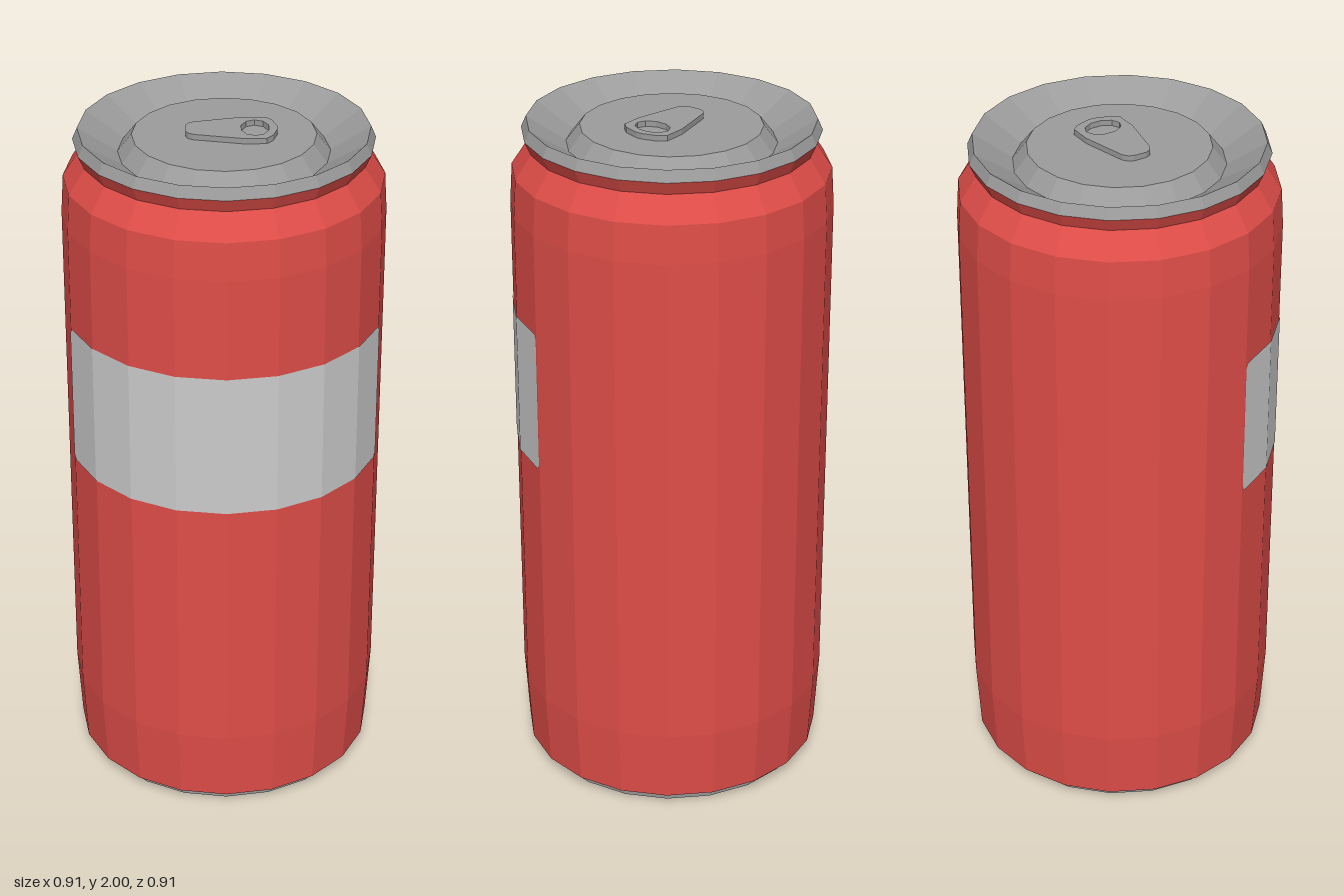
import * as THREE from 'three';

const SIDES = 20;
const BODY_R = 0.455;

const red = new THREE.MeshStandardMaterial({ color: 0xdf4d48 });
red.name = 'red paint';
const metal = new THREE.MeshStandardMaterial({ color: 0x9c9c9c });
metal.name = 'bare metal';
const pale = new THREE.MeshStandardMaterial({ color: 0xcccccc });
pale.name = 'pale label';

// Faceted mesh: every face gets its own normal
function facet(name, geometry, material) {
  const g = geometry.index ? geometry.toNonIndexed() : geometry;
  g.computeVertexNormals();
  const mesh = new THREE.Mesh(g, material);
  mesh.name = name;
  return mesh;
}

// Turned part from [radius, height] pairs
function turned(name, profile, material) {
  const points = profile.map(([r, y]) => new THREE.Vector2(r, y));
  return facet(name, new THREE.LatheGeometry(points, SIDES), material);
}

// Rectangular label wrapped on the flat sides, with clipped corners
function makeLabel() {
  const angles = [-72, -70.6, -54, -36, -18, 0, 18, 36, 54, 70.6, 72];
  const low = 1.03, high = 1.455, corner = 0.014;
  const g = new THREE.PlaneGeometry(1, 1, angles.length - 1, 1);
  const pos = g.attributes.position;
  for (let i = 0; i < pos.count; i++) {
    const col = i % angles.length;
    const a = THREE.MathUtils.degToRad(angles[col]);
    const step = Math.PI * 2 / SIDES;
    const inFace = Math.abs(a) % step;
    const r = (BODY_R + 0.002) * Math.cos(step / 2) / Math.cos(inFace - step / 2);
    const inset = col === 0 || col === angles.length - 1 ? corner : 0;
    const y = pos.getY(i) > 0 ? high - inset : low + inset;
    pos.setXYZ(i, r * Math.sin(a), y, r * Math.cos(a));
  }
  return facet('label', g, pale);
}

// Pull tab: tapered plate with a finger hole
function makeTab() {
  const half = [[-0.107, 0.02], [-0.1, 0.035], [-0.085, 0.045], [0.05, 0.075], [0.115, 0.075], [0.133, 0.055], [0.147, 0.01]];
  const outline = [...half.map(([x, y]) => [x, -y]), ...half.slice().reverse()];
  const shape = new THREE.Shape(outline.map(([x, y]) => new THREE.Vector2(x, y)));
  const hole = [];
  for (let i = 0; i < 10; i++) {
    const a = Math.PI / 2 - i / 10 * Math.PI * 2;
    hole.push(new THREE.Vector2(0.085 + 0.04 * Math.cos(a), 0.054 * Math.sin(a)));
  }
  shape.holes.push(new THREE.Path(hole));
  const g = new THREE.ExtrudeGeometry(shape, { depth: 0.016, bevelEnabled: false });
  g.rotateX(-Math.PI / 2).translate(0, 1.981, 0);
  return facet('pullTab', g, metal);
}

export function createModel() {
  const can = new THREE.Group();
  can.name = 'drinkCan';
  can.add(
    turned('base', [[0, 0], [0.408, 0], [0.412, 0.035], [0.442, 0.035]], metal),
    turned('body', [[0.442, 0.035], [BODY_R, 0.25], [BODY_R, 1.75], [0.448, 1.86],
      [0.402, 1.93], [0.419, 1.968]], red),
    // Rim, sloping inner wall, groove and raised centre panel
    turned('lid', [[0.419, 1.968], [0.405, 2], [0.295, 1.93], [0.256, 1.98], [0, 1.98]], metal),
    makeLabel(),
    makeTab(),
  );
  return can;
}
